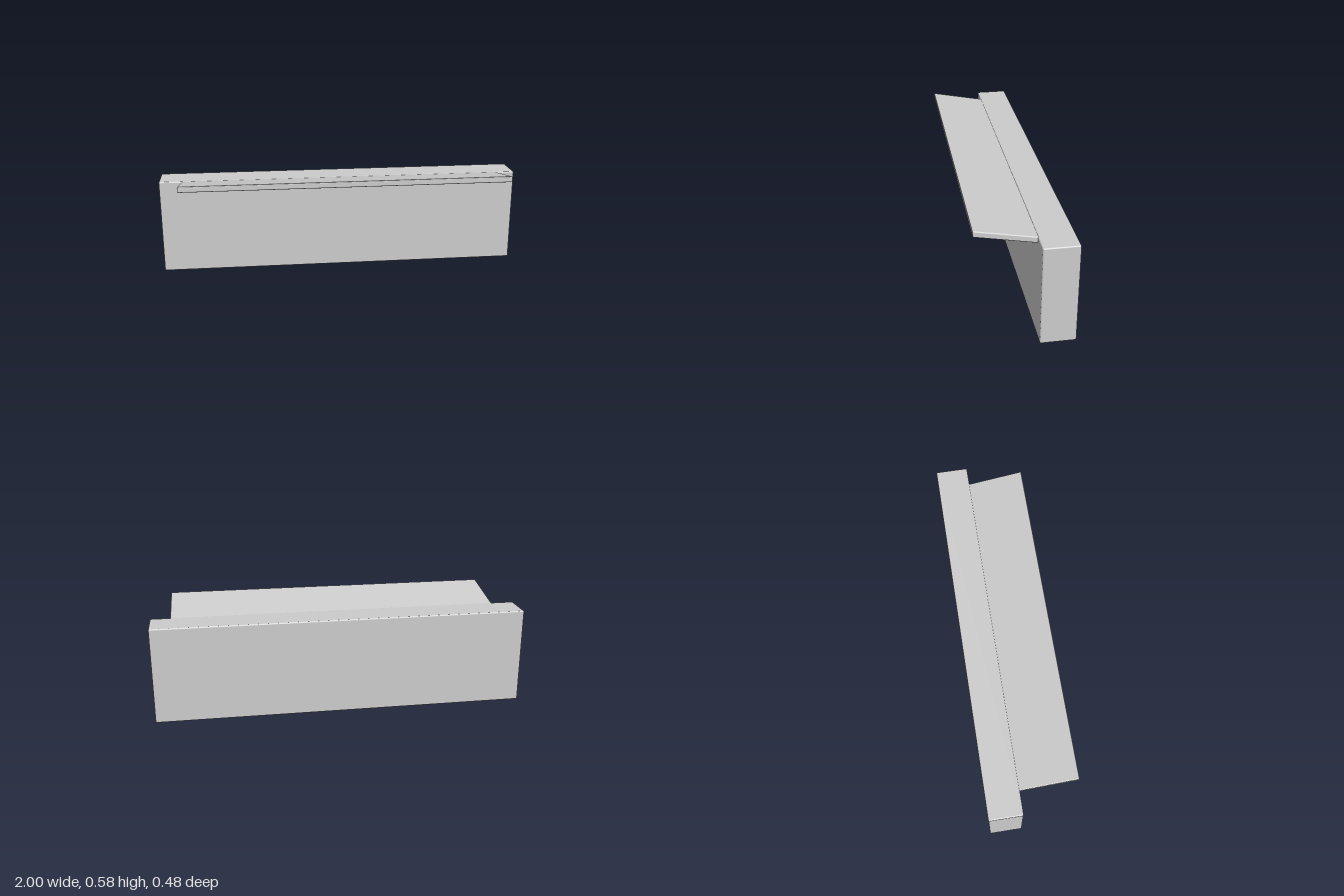
import * as THREE from 'three';
import { RoundedBoxGeometry } from 'three/addons/geometries/RoundedBoxGeometry.js';

const material = new THREE.MeshStandardMaterial({ color: 0xcccccc });

// Softly rounded box spanning two opposite corners, with y raised by slope * z
function roundedBlock(name, min, max, radius, slope = 0) {
  const size = max.map((v, i) => v - min[i]);
  const geometry = new RoundedBoxGeometry(...size, 3, radius);
  geometry.translate(...min.map((v, i) => (v + max[i]) / 2));
  geometry.applyMatrix4(new THREE.Matrix4().set(
    1, 0, 0, 0,
    0, 1, slope, 0,
    0, 0, 1, 0,
    0, 0, 0, 1,
  ));
  const mesh = new THREE.Mesh(geometry, material);
  mesh.name = name;
  return mesh;
}

export function createModel() {
  const group = new THREE.Group();
  group.name = 'wallWithCanopy';

  // Upright slab at the back
  group.add(roundedBlock('wall', [-1, 0, -0.237], [1, 0.521, -0.06], 0.007));

  // Thin panel rising toward the front, its rear edge set into the wall
  group.add(roundedBlock('canopy', [-0.875, 0.5, -0.072], [0.895, 0.532, 0.238], 0.006, 0.192));

  return group;
}
